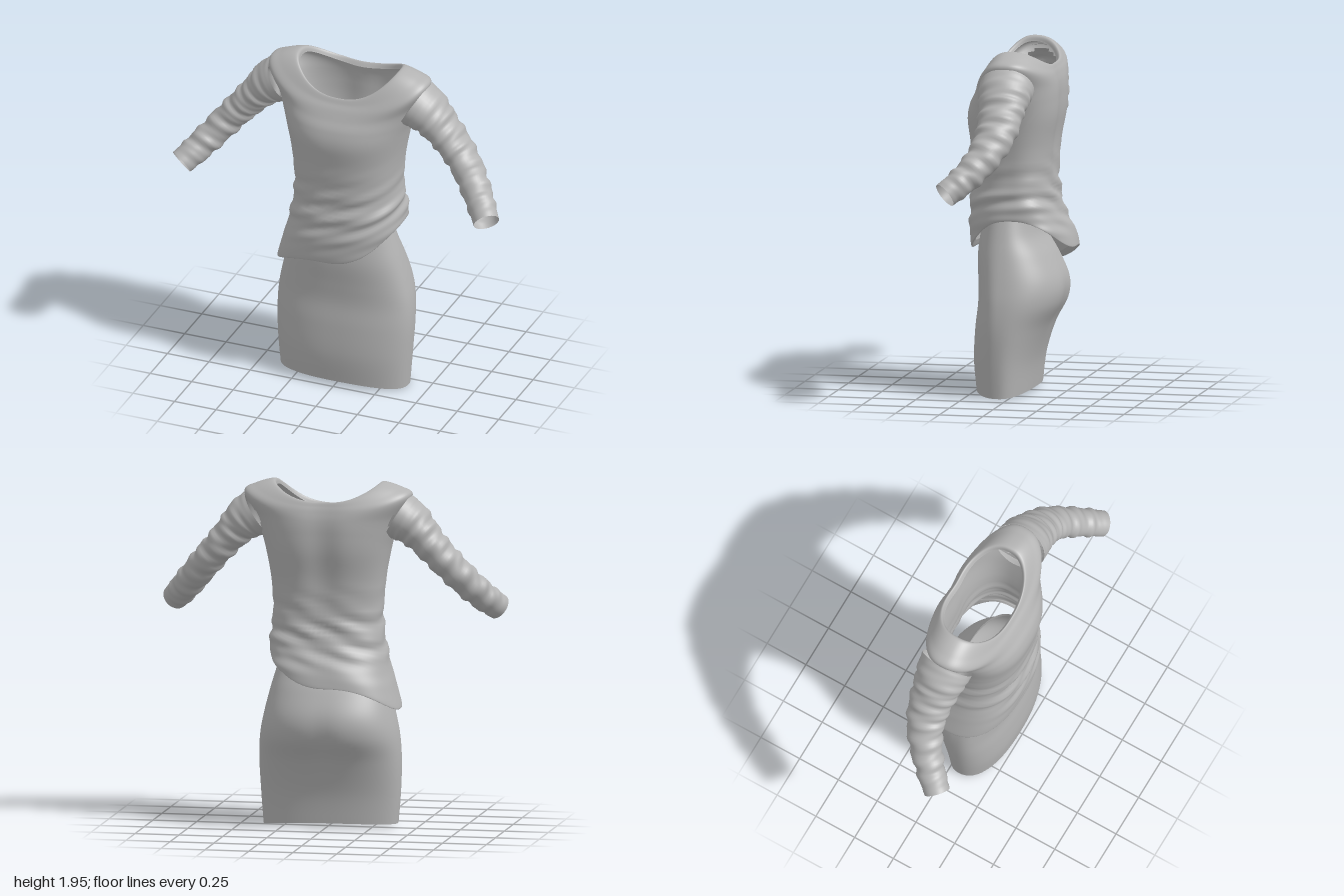
import * as THREE from 'three';

const V = (x, y, z) => new THREE.Vector3(x, y, z);
const spow = (a, p) => Math.sign(a) * Math.abs(a) ** p;
const bell = (a, w) => Math.exp(-((a / w) ** 2));

// Smooth tube-like skin: point(v, angle) for v in 0..1, closed around the angle
function loft(rows, cols, point, keep = () => true) {
  const pos = [], index = [], pts = [];
  for (let i = 0; i <= rows; i++) {
    for (let j = 0; j < cols; j++) {
      const p = point(i / rows, (j / cols) * Math.PI * 2);
      pts.push(p);
      pos.push(p.x, p.y, p.z);
    }
  }
  for (let i = 0; i < rows; i++) {
    for (let j = 0; j < cols; j++) {
      const a = i * cols + j, b = i * cols + ((j + 1) % cols);
      if (!keep(pts[a].clone().add(pts[b + cols]).multiplyScalar(0.5))) continue;
      index.push(a, a + cols, b, b, a + cols, b + cols);
    }
  }
  const g = new THREE.BufferGeometry();
  g.setAttribute('position', new THREE.Float32BufferAttribute(pos, 3));
  g.setIndex(index);
  g.computeVertexNormals();
  return g;
}

// Interpolates a list of number rows with a Catmull-Rom spline
function sample(keys, v) {
  const f = v * (keys.length - 1), i = Math.min(Math.floor(f), keys.length - 2), t = f - i;
  const at = (k) => keys[Math.max(0, Math.min(keys.length - 1, k))];
  return keys[0].map((_, n) => {
    const [a, b, c, d] = [at(i - 1)[n], at(i)[n], at(i + 1)[n], at(i + 2)[n]];
    return b + 0.5 * t * (c - a + t * (2 * a - 5 * b + 4 * c - d + t * (3 * (b - c) + d - a)));
  });
}

// Ring from [xRight, xLeft, yRight, yLeft, yFront, yBack, zFront, zBack]
function ringPoint([x0, x1, y0, y1, yf, yb, zf, zb], angle, zc, square) {
  const kx = spow(Math.cos(angle), square), kz = spow(Math.sin(angle), square);
  const w = Math.cos(angle) ** 2;
  const x = (x0 + x1) / 2 + ((x1 - x0) / 2) * kx;
  const y = (kx > 0 ? y1 : y0) * w + (kz > 0 ? yf : yb) * (1 - w);
  return V(x, y, zc + (kz > 0 ? zf - zc : zc - zb) * kz);
}

export function createModel() {
  const model = new THREE.Group();
  const cloth = new THREE.MeshStandardMaterial({ color: 0xb3b3b3, side: THREE.DoubleSide });
  cloth.name = 'grey cloth';
  const add = (name, geometry) => {
    const mesh = new THREE.Mesh(geometry, cloth);
    mesh.name = name;
    model.add(mesh);
  };

  // Top: slanted hem with a turned edge, chest, shoulders, scooped neck with a turned edge
  const topRings = [
    [-0.38, 0.3, 0.71, 1.02, 0.84, 0.86, 0.262, -0.27],
    [-0.41, 0.325, 0.68, 1.0, 0.8, 0.82, 0.285, -0.295],
    [-0.385, 0.325, 0.78, 1.04, 0.9, 0.91, 0.295, -0.275],
    [-0.335, 0.322, 0.97, 1.12, 1.02, 1.03, 0.29, -0.22],
    [-0.305, 0.31, 1.18, 1.22, 1.2, 1.2, 0.275, -0.19],
    [-0.32, 0.32, 1.4, 1.4, 1.4, 1.4, 0.285, -0.2],
    [-0.35, 0.35, 1.57, 1.57, 1.54, 1.57, 0.3, -0.23],
    [-0.375, 0.375, 1.66, 1.66, 1.63, 1.68, 0.283, -0.235],
    [-0.41, 0.41, 1.76, 1.76, 1.69, 1.75, 0.25, -0.23],
    [-0.475, 0.475, 1.885, 1.885, 1.74, 1.8, 0.222, -0.217],
    [-0.41, 0.41, 1.93, 1.93, 1.77, 1.83, 0.2, -0.205],
    [-0.31, 0.31, 1.957, 1.957, 1.8, 1.855, 0.18, -0.19],
    [-0.29, 0.29, 1.925, 1.925, 1.77, 1.83, 0.165, -0.17],
  ];
  const topPoint = (v, a) => {
    const p = ringPoint(sample(topRings, v), a, 0, 0.84);
    // slanted folds around the waist
    const h = p.y - 0.3 * p.x;
    const fold = bell(p.y - 1.1, 0.17) * (0.009 * Math.sin(48 * h + 2 * Math.sin(a * 2))
      + 0.005 * Math.sin(85 * h + 3 * a));
    p.x += fold * Math.cos(a) * 0.7;
    p.z += fold * Math.sin(a);
    // hollow along the spine
    if (p.z < 0) p.z += 0.025 * bell(p.x, 0.09) * bell(p.y - 1.55, 0.35);
    return p;
  };
  // armholes are left open inside the sleeves
  const outsideArmhole = (p) => Math.abs(p.x) < 0.3
    || Math.hypot((p.y - 1.755) / 0.1, p.z / 0.115) > 1;
  add('top', loft(96, 96, topPoint, outsideArmhole));

  // Sleeves: path with [height radius, depth radius] along it
  const radii = [
    [0.135, 0.155], [0.122, 0.147], [0.1, 0.13], [0.09, 0.118],
    [0.086, 0.105], [0.083, 0.09], [0.079, 0.08], [0.073, 0.073],
  ];
  for (const side of [-1, 1]) {
    const path = new THREE.CatmullRomCurve3([
      V(0.4, 1.768, 0), V(0.47, 1.725, 0), V(0.54, 1.655, 0), V(0.62, 1.565, 0.005),
      V(0.7, 1.475, 0.03), V(0.785, 1.375, 0.09), V(0.86, 1.292, 0.165), V(0.92, 1.232, 0.236),
    ].map((p) => V(p.x * side, p.y, p.z)));
    const tube = (v, a, grow) => {
      const T = path.getTangent(v);
      const A = V(0, 0, 1).addScaledVector(T, -T.z).normalize();
      const B = A.clone().cross(T);
      const [rb, ra] = sample(radii, v);
      return path.getPoint(v)
        .addScaledVector(A, Math.cos(a) * (ra + grow))
        .addScaledVector(B, Math.sin(a) * (rb + grow));
    };
    const sleeve = (v, a) => tube(v, a, Math.min(1, 6 * (1 - v)) * Math.min(1, 4 * v)
      * (0.005 * Math.sin(52 * v + 1.6 * Math.sin(a + side)) + 0.003 * Math.sin(90 * v + 2 * a)));
    add(side > 0 ? 'leftSleeve' : 'rightSleeve', loft(64, 40, sleeve));
  }

  // Skirt: narrow hem, full hips and seat, high waist tucked under the top
  const skirtRings = [
    [-0.383, 0.38, 0.022, 0.004, 0.035, 0.03, 0.24, -0.082],
    [-0.397, 0.394, 0.2, 0.2, 0.2, 0.2, 0.255, -0.105],
    [-0.402, 0.402, 0.38, 0.38, 0.38, 0.38, 0.245, -0.165],
    [-0.393, 0.393, 0.52, 0.52, 0.52, 0.52, 0.228, -0.24],
    [-0.37, 0.37, 0.64, 0.64, 0.64, 0.64, 0.23, -0.247],
    [-0.335, 0.335, 0.78, 0.78, 0.78, 0.78, 0.237, -0.185],
    [-0.3, 0.3, 0.9, 0.9, 0.9, 0.9, 0.225, -0.115],
    [-0.262, 0.262, 1.03, 1.03, 1.03, 1.03, 0.2, -0.09],
  ];
  const skirtPoint = (v, a) => {
    const p = ringPoint(sample(skirtRings, v), a, 0.06, 0.87);
    // soft dip between the two halves of the seat
    if (p.z < 0) p.z += 0.012 * bell(p.x, 0.07) * bell(p.y - 0.52, 0.14);
    return p;
  };
  add('skirt', loft(42, 72, skirtPoint));

  return model;
}
